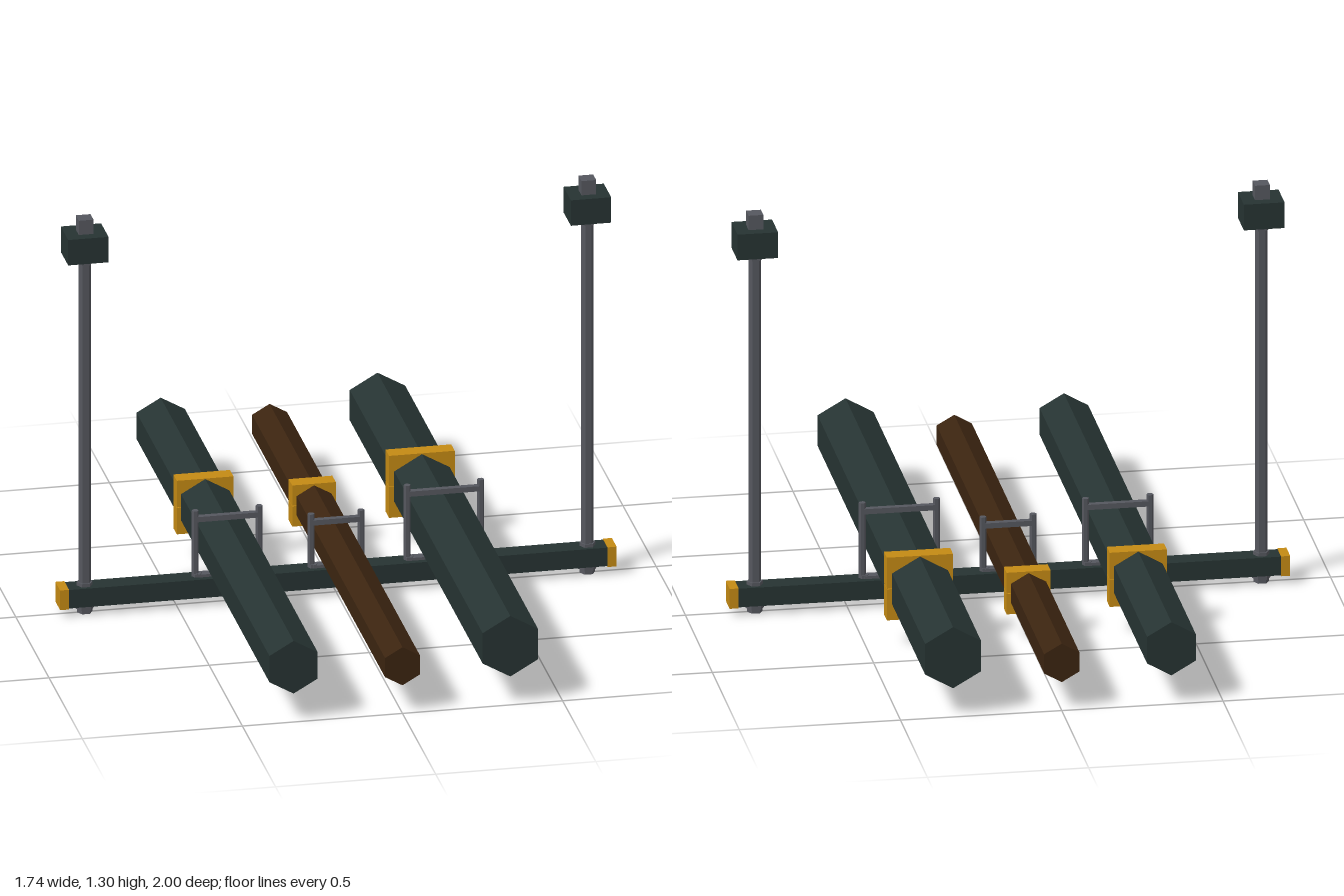
import * as THREE from 'three';

const mat = (name, color) => {
  const m = new THREE.MeshStandardMaterial({ color, flatShading: true });
  m.name = name;
  return m;
};

export function createModel() {
  const model = new THREE.Group();
  model.name = 'pipeTrapeze';
  const slate = mat('darkSlate', 0x263332);
  const brown = mat('rustBrown', 0x3b2410);
  const yellow = mat('clampYellow', 0xc48a14);
  const steel = mat('steelGrey', 0x55575e);

  const add = (parent, name, geometry, material, x, y, z) => {
    const mesh = new THREE.Mesh(geometry, material);
    mesh.name = name;
    mesh.position.set(x, y, z);
    parent.add(mesh);
    return mesh;
  };
  const box = (parent, name, material, w, h, d, x, y, z) =>
    add(parent, name, new THREE.BoxGeometry(w, h, d), material, x, y, z);
  // Upright six-sided bar with corners pointing along x
  const hexBar = (parent, name, material, r, y0, y1, x, z) =>
    add(parent, name, new THREE.CylinderGeometry(r, r, y1 - y0, 6).rotateY(Math.PI / 6),
      material, x, (y0 + y1) / 2, z);

  // Cross beam
  box(model, 'crossBeam', slate, 1.69, 0.061, 0.066, 0, 0.0585, 0);

  // Hanger rods with anchors, nuts and beam end caps
  for (const side of [-1, 1]) {
    const hanger = new THREE.Group();
    hanger.name = side > 0 ? 'leftHanger' : 'rightHanger';
    hanger.position.x = side * 0.785;
    model.add(hanger);
    hexBar(hanger, 'rod', steel, 0.02, 0.005, 1.28, 0, 0);
    box(hanger, 'anchorBlock', slate, 0.126, 0.084, 0.112, 0, 1.214, 0);
    box(hanger, 'topStud', steel, 0.046, 0.05, 0.046, 0, 1.278, 0);
    hexBar(hanger, 'anchorNut', steel, 0.026, 1.153, 1.174, 0, 0);
    hexBar(hanger, 'beamWasher', steel, 0.029, 0.013, 0.03, 0, 0);
    hexBar(hanger, 'beamNut', steel, 0.024, 0, 0.014, 0, 0);
    hexBar(hanger, 'upperNut', steel, 0.025, 0.087, 0.1, 0, 0);
    box(model, 'beamEndCap', yellow, 0.028, 0.065, 0.072, side * 0.855, 0.0585, 0);
  }

  // Pipes: centre x, radius, centre height, collar size, strap half width, strap bar and post tops
  const pipes = [
    { name: 'mediumPipe', x: -0.34, r: 0.087, y: 0.181, collar: 0.177, half: 0.111, bar: 0.278, top: 0.306, m: slate },
    { name: 'smallPipe', x: 0, r: 0.063, y: 0.156, collar: 0.136, half: 0.089, bar: 0.237, top: 0.265, m: brown },
    { name: 'largePipe', x: 0.337, r: 0.1, y: 0.194, collar: 0.205, half: 0.126, bar: 0.307, top: 0.335, m: slate },
  ];
  for (const p of pipes) {
    const group = new THREE.Group();
    group.name = p.name + 'Assembly';
    group.position.x = p.x;
    model.add(group);
    // Corners point up and down
    add(group, p.name, new THREE.CylinderGeometry(p.r, p.r, 2, 6).rotateX(Math.PI / 2),
      p.m, 0, p.y, 0);
    // Collar in two halves with a fine seam
    for (const s of [-1, 1]) {
      box(group, s > 0 ? 'upperCollar' : 'lowerCollar', yellow,
        p.collar, p.collar / 2 - 0.001, 0.053, 0, p.y + s * (p.collar / 4 + 0.0005), -0.357);
    }
    // Strap over the pipe
    for (const s of [-1, 1]) {
      hexBar(group, 'strapPost', steel, 0.011, 0.085, p.top, s * (p.half - 0.011), 0);
      hexBar(group, 'strapFoot', steel, 0.016, 0.087, 0.1, s * (p.half - 0.016), 0);
    }
    box(group, 'strapBar', steel, p.half * 2 - 0.022, 0.017, 0.019, 0, p.bar, 0);
    box(group, 'saddle', steel, p.half * 2 - 0.03, 0.01, 0.03, 0, 0.093, 0);
  }
  return model;
}
